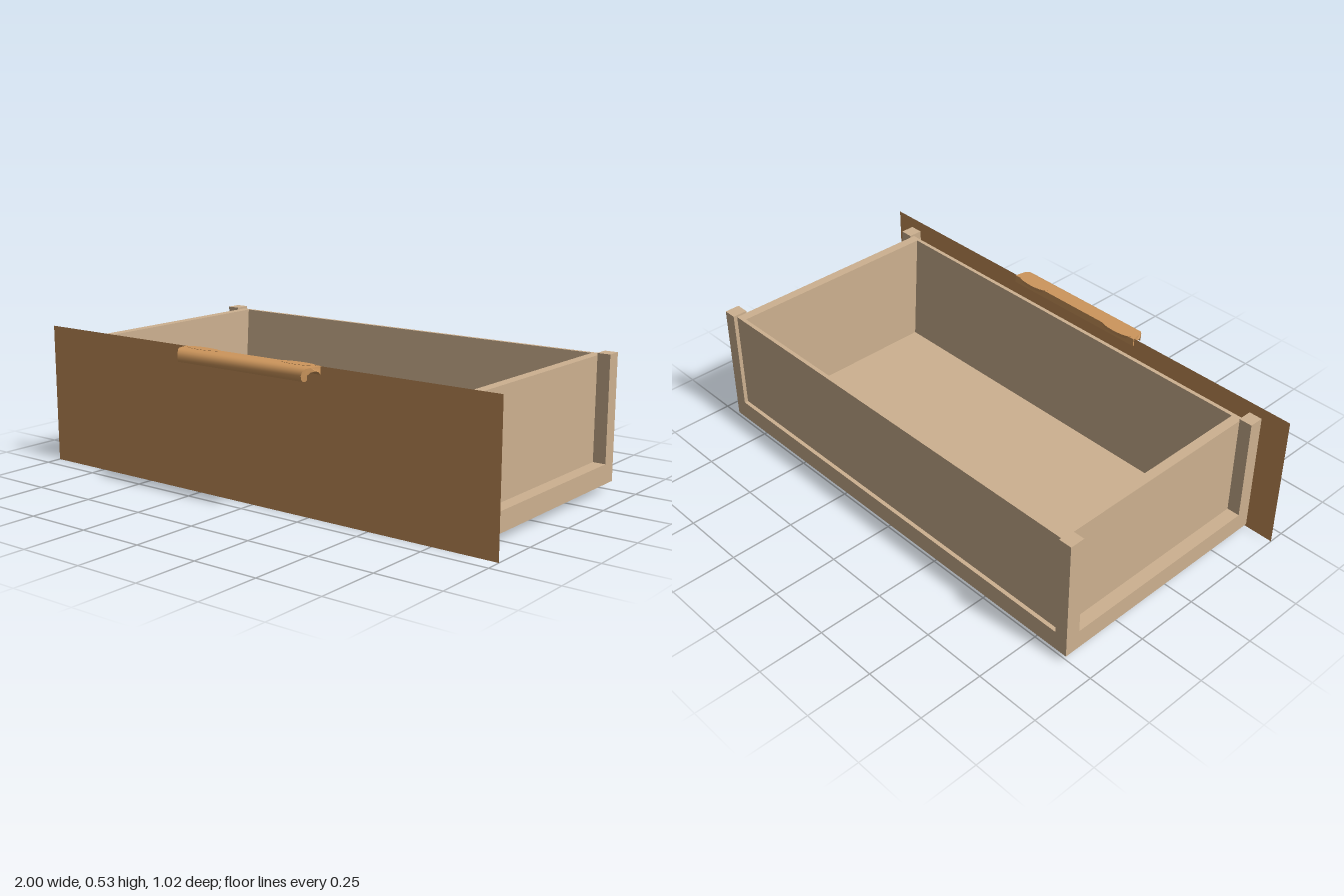
import * as THREE from 'three';
import { toCreasedNormals } from 'three/addons/utils/BufferGeometryUtils.js';

const paleWood = new THREE.MeshStandardMaterial({ color: 0xcdb190 });
paleWood.name = 'pale wood';
const frontWood = new THREE.MeshStandardMaterial({ color: 0xc48f58, side: THREE.DoubleSide });
frontWood.name = 'front wood';
const handleWood = new THREE.MeshStandardMaterial({ color: 0xcd965c });
handleWood.name = 'handle wood';

function add(parent, name, geometry, material) {
  const mesh = new THREE.Mesh(geometry, material);
  mesh.name = name;
  parent.add(mesh);
  return mesh;
}

// Box given by its limits on each axis
function block(parent, name, [x0, x1], [y0, y1], [z0, z1]) {
  const mesh = add(parent, name, new THREE.BoxGeometry(x1 - x0, y1 - y0, z1 - z0), paleWood);
  mesh.position.set((x0 + x1) / 2, (y0 + y1) / 2, (z0 + z1) / 2);
}

// Extrudes a (z, y) outline along x, centred on x = 0
function alongX(points, length, steps = 1) {
  const shape = new THREE.Shape(points.map(([z, y]) => new THREE.Vector2(z, y)));
  const geo = new THREE.ExtrudeGeometry(shape, { depth: length, steps, bevelEnabled: false });
  geo.rotateY(-Math.PI / 2);
  geo.translate(length / 2, 0, 0);
  return geo;
}

// Ring lying flat, from rectangle limits
function rectPath(Type, x, z0, z1) {
  const path = new Type();
  path.moveTo(-x, -z1);
  path.lineTo(x, -z1);
  path.lineTo(x, -z0);
  path.lineTo(-x, -z0);
  path.closePath();
  return path;
}

function createTray() {
  const tray = new THREE.Group();
  tray.name = 'tray';

  // Bottom frame with a shallow recess underneath
  const outline = rectPath(THREE.Shape, 0.9, -0.51, 0.42);
  outline.holes.push(rectPath(THREE.Path, 0.82, -0.44, 0.35));
  const ring = new THREE.ExtrudeGeometry(outline, { depth: 0.075, bevelEnabled: false });
  ring.rotateX(-Math.PI / 2);
  ring.translate(0, 0.03, 0);
  add(tray, 'bottomFrame', ring, paleWood);
  block(tray, 'floor', [-0.83, 0.83], [0.042, 0.062], [-0.47, 0.37]);

  // Front and back walls lean in towards the floor
  const back = [[-0.495, 0.05], [-0.45, 0.05], [-0.48, 0.497], [-0.495, 0.497]];
  const front = [[0.34, 0.05], [0.385, 0.05], [0.385, 0.497], [0.37, 0.497]];
  add(tray, 'backWall', alongX(back, 1.7), paleWood);
  add(tray, 'frontWall', alongX(front, 1.7), paleWood);

  // Side walls and corner posts
  for (const s of [-1, 1]) {
    const span = (a, b) => (s > 0 ? [a, b] : [-b, -a]);
    block(tray, 'sideWall', span(0.813, 0.85), [0.05, 0.497], [-0.494, 0.384]);
    block(tray, 'backPost', span(0.849, 0.9), [0.1, 0.505], [-0.51, -0.452]);
    block(tray, 'frontPost', span(0.849, 0.9), [0.1, 0.505], [0.365, 0.42]);
  }
  return tray;
}

function createHandle() {
  const handle = new THREE.Group();
  handle.name = 'handle';

  // Hooked grip, narrowing towards its front lip
  const profile = [
    [0.435, 0.5], [0.442, 0.502], [0.452, 0.513], [0.468, 0.517], [0.483, 0.514],
    [0.492, 0.505], [0.493, 0.49], [0.497, 0.485], [0.505, 0.485], [0.509, 0.492],
    [0.511, 0.505], [0.506, 0.519], [0.496, 0.527], [0.482, 0.53], [0.435, 0.53],
  ];
  const geo = alongX(profile, 0.61);
  const pos = geo.attributes.position;
  for (let i = 0; i < pos.count; i++) {
    const t = THREE.MathUtils.clamp((pos.getZ(i) - 0.47) / 0.04, 0, 1);
    pos.setX(i, pos.getX(i) * (1 - 0.09 * t));
  }
  add(handle, 'grip', toCreasedNormals(geo, 0.8), handleWood);

  // Rounded tabs hooking over the panel's top edge
  for (const s of [-1, 1]) {
    const tab = add(handle, 'mountingTab', new THREE.CylinderGeometry(1, 0.85, 0.015, 20), handleWood);
    tab.scale.set(0.075, 1, 0.022);
    tab.position.set(s * 0.215, 0.5235, 0.445);
  }
  return handle;
}

export function createModel() {
  const drawer = new THREE.Group();
  drawer.name = 'drawer';
  drawer.add(createTray());

  // Thin front panel, wider and taller than the tray
  const panel = add(drawer, 'frontPanel', new THREE.PlaneGeometry(2, 0.53), frontWood);
  panel.position.set(0, 0.265, 0.44);

  drawer.add(createHandle());
  return drawer;
}
